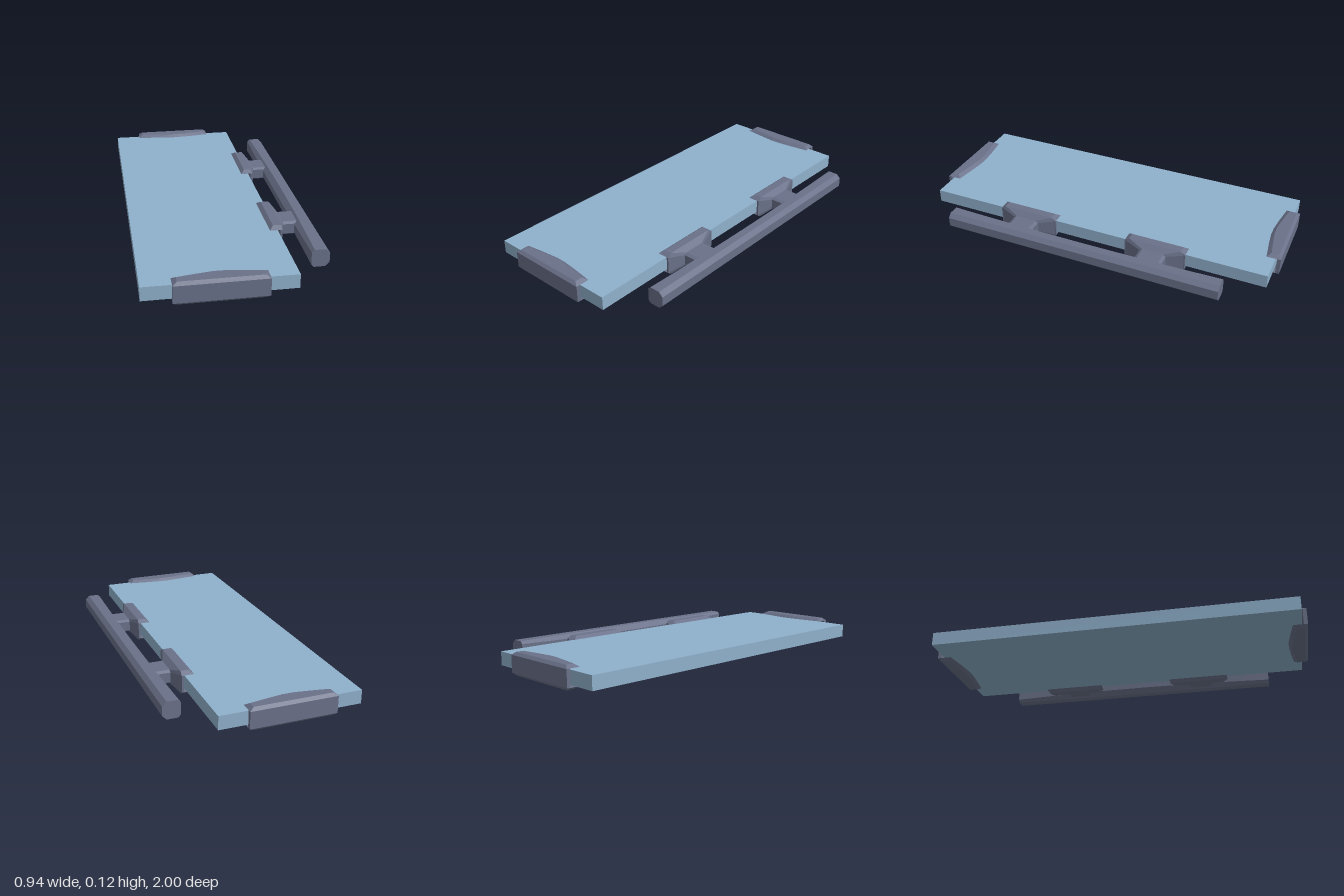
import * as THREE from 'three';
import { ConvexGeometry } from 'three/addons/geometries/ConvexGeometry.js';

const MID = 0.0625; // height of the panel's middle plane

const glass = new THREE.MeshStandardMaterial({ color: 0x8fb0cb });
const metal = new THREE.MeshStandardMaterial({ color: 0x6a7189 });

function add(parent, name, geometry, material) {
  const mesh = new THREE.Mesh(geometry, material);
  mesh.name = name;
  parent.add(mesh);
  return mesh;
}

// Box given by its limits on each axis
function box(x0, x1, y0, y1, z0, z1) {
  return new THREE.BoxGeometry(x1 - x0, y1 - y0, z1 - z0)
    .translate((x0 + x1) / 2, (y0 + y1) / 2, (z0 + z1) / 2);
}

// Convex bevelled plate between two [x, z] outlines at distances h0 and h1
// from the middle plane; side is +1 above it and -1 below it
function plate(outer, h0, inner, h1, side) {
  const at = (h) => ([x, z]) => new THREE.Vector3(x, MID + side * h, z);
  return new ConvexGeometry([...outer.map(at(h0)), ...inner.map(at(h1))]);
}

const rect = (x0, x1, z0, z1) => [[x0, z0], [x1, z0], [x1, z1], [x0, z1]];

// Eight-sided section in the x/y plane with separate left and right chamfers
function octagon(x0, x1, h, cl, cr, z) {
  return [
    [x0, h - cl], [x0 + cl, h], [x1 - cr, h], [x1, h - cr],
    [x1, cr - h], [x1 - cr, -h], [x0 + cl, -h], [x0, cl - h],
  ].map(([x, y]) => new THREE.Vector3(x, MID + y, z));
}

// Flat-shaded solid through a row of equal sections
function loft(sections) {
  const pos = [];
  const tri = (a, b, c) => [a, b, c].forEach((p) => pos.push(p.x, p.y, p.z));
  const n = sections[0].length;
  for (let s = 0; s < sections.length - 1; s++) {
    const a = sections[s], b = sections[s + 1];
    for (let i = 0; i < n; i++) {
      const j = (i + 1) % n;
      tri(a[i], b[j], b[i]);
      tri(a[i], a[j], b[j]);
    }
  }
  const first = sections[0], last = sections[sections.length - 1];
  for (let i = 1; i < n - 1; i++) {
    tri(first[0], first[i + 1], first[i]);
    tri(last[0], last[i], last[i + 1]);
  }
  // Sections run clockwise seen from +z, so turn every face outwards
  for (let i = 0; i < pos.length; i += 9) {
    for (let k = 0; k < 3; k++) {
      [pos[i + 3 + k], pos[i + 6 + k]] = [pos[i + 6 + k], pos[i + 3 + k]];
    }
  }
  const g = new THREE.BufferGeometry();
  g.setAttribute('position', new THREE.Float32BufferAttribute(pos, 3));
  g.computeVertexNormals();
  return g;
}

// Channel that wraps an end of the panel, its lips bowed towards the middle
function endCap(end) {
  const cap = new THREE.Group();
  cap.name = end > 0 ? 'frontEndCap' : 'backEndCap';
  const outer = [[-0.325, 1], [-0.325, 0.925], [-0.22, 0.91], [-0.13, 0.9],
    [-0.07, 0.9], [0.02, 0.91], [0.127, 0.925], [0.127, 1]];
  const inner = [[-0.303, 0.985], [-0.303, 0.945], [-0.22, 0.931], [-0.13, 0.918],
    [-0.07, 0.918], [0.02, 0.931], [0.105, 0.945], [0.105, 0.985]];
  const flip = (pts) => pts.map(([x, z]) => [x, z * end]);
  for (const side of [1, -1]) {
    add(cap, 'capLip', plate(flip(outer), 0.045, flip(inner), 0.06, side), metal);
  }
  const z = [0.98 * end, end].sort((a, b) => a - b);
  add(cap, 'capWall', box(-0.325, 0.127, MID - 0.045, MID + 0.045, ...z), metal);
  return cap;
}

// Channel gripping the long edge, with a tapered back and a stem to the rail
function clamp(zc) {
  const group = new THREE.Group();
  group.name = zc > 0 ? 'frontClamp' : 'backClamp';
  const outer = rect(0.225, 0.29, zc - 0.168, zc + 0.168);
  const inner = rect(0.245, 0.288, zc - 0.143, zc + 0.143);
  for (const side of [1, -1]) {
    add(group, 'clampLip', plate(outer, 0.046, inner, 0.0625, side), metal);
  }
  add(group, 'clampWall',
    box(0.28, 0.29, MID - 0.046, MID + 0.046, zc - 0.168, zc + 0.168), metal);

  // Tapered back: eight-sided at the wall and narrowing to the stem
  const ring = (x, h, w, ch, cw) => [1, -1].flatMap((a) => [1, -1].flatMap((b) => [
    new THREE.Vector3(x, MID + a * h, zc + b * (w - cw)),
    new THREE.Vector3(x, MID + a * (h - ch), zc + b * w),
  ]));
  const stemEnd = (x) => ring(x, 0.037, 0.073, 0.01, 0.015);
  add(group, 'clampTaper', new ConvexGeometry([
    ...ring(0.288, 0.0625, 0.168, 0.0165, 0.025), ...stemEnd(0.317)]), metal);
  add(group, 'stem', new ConvexGeometry([...stemEnd(0.31), ...stemEnd(0.4)]), metal);
  return group;
}

export function createModel() {
  const model = new THREE.Group();
  model.name = 'panelWithRail';

  add(model, 'panel', box(-0.47, 0.27, 0.027, 0.099, -0.97, 0.97), glass);

  for (const end of [1, -1]) {
    model.add(endCap(end));
    model.add(clamp(end * 0.373));
  }

  // Rail whose inner chamfer widens gently towards the middle
  const stations = [-0.775, -0.58, -0.4, -0.2, 0, 0.2, 0.4, 0.58, 0.775];
  add(model, 'rail', loft(stations.map((z) => {
    const inner = 0.014 + 0.014 * (1 - (z / 0.775) ** 2);
    return octagon(0.378, 0.47, 0.0465, inner, 0.022, z);
  })), metal);

  return model;
}
